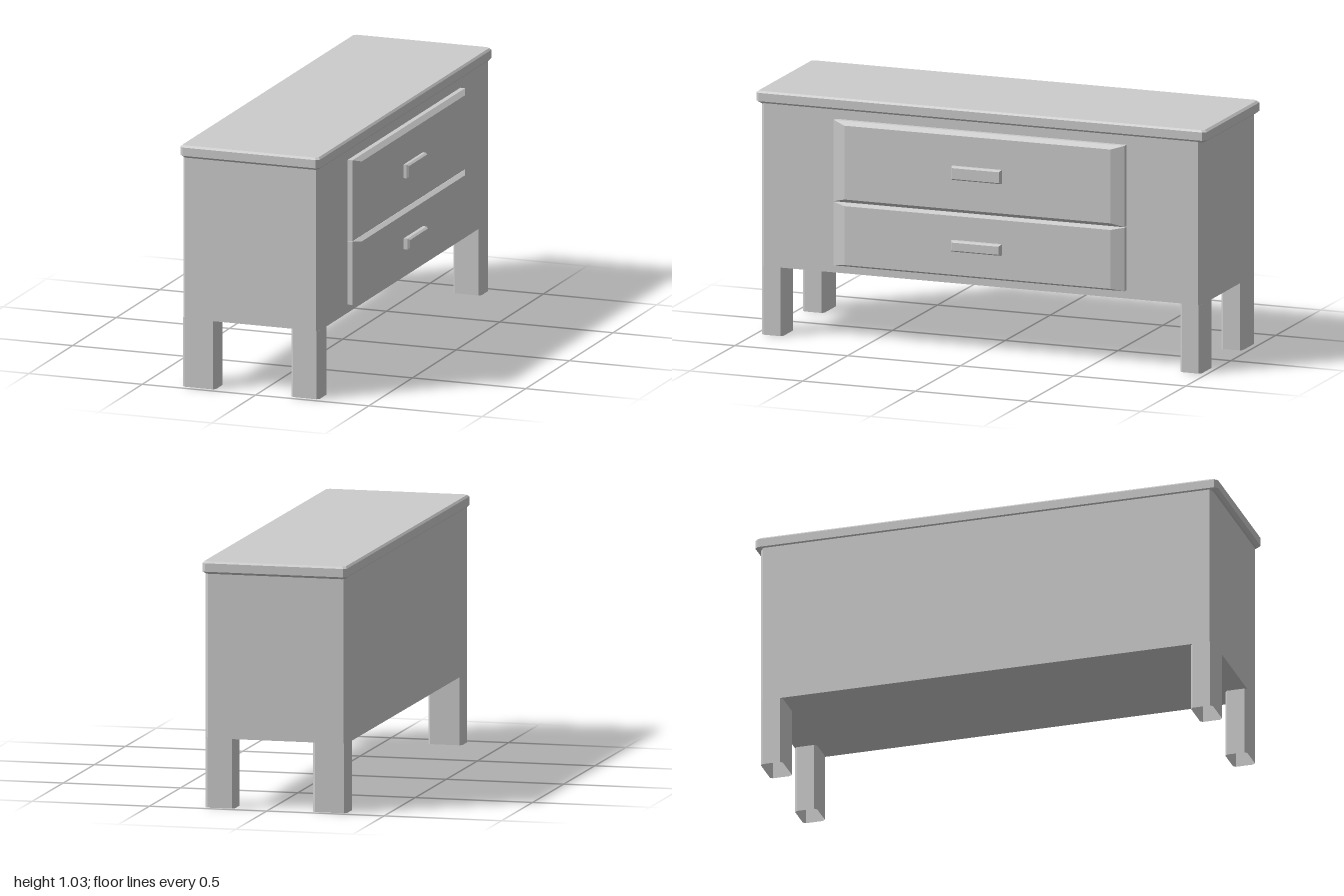
import * as THREE from 'three';

// Counter-clockwise rectangle in (u, v) with corners cut by c
function ring(u0, u1, v0, v1, c) {
  if (!c) return [[u0, v0], [u1, v0], [u1, v1], [u0, v1]];
  return [
    [u0 + c, v0], [u1 - c, v0], [u1, v0 + c], [u1, v1 - c],
    [u1 - c, v1], [u0 + c, v1], [u0, v1 - c], [u0, v0 + c],
  ];
}

// Joins rings placed along an axis; each level is [w, u0, u1, v0, v1, cornerCut].
// axis 'y': u = z, v = x.  axis 'x': u = y, v = z.
function loft(axis, levels, capped = true) {
  const place = axis === 'y' ? (u, v, w) => [v, w, u] : (u, v, w) => [w, u, v];
  const rings = levels.map(([w, ...r]) => ring(...r).map(([u, v]) => place(u, v, w)));
  const n = rings[0].length;
  const pos = [];
  const tri = (...pts) => pts.forEach((p) => pos.push(...p));
  for (let k = 0; k < rings.length - 1; k++) {
    const a = rings[k], b = rings[k + 1];
    for (let i = 0; i < n; i++) {
      const j = (i + 1) % n;
      tri(a[i], a[j], b[j]);
      tri(a[i], b[j], b[i]);
    }
  }
  if (capped) {
    const a = rings[0], b = rings[rings.length - 1];
    for (let i = 1; i < n - 1; i++) {
      tri(a[0], a[i + 1], a[i]);
      tri(b[0], b[i], b[i + 1]);
    }
  }
  const g = new THREE.BufferGeometry();
  g.setAttribute('position', new THREE.Float32BufferAttribute(pos, 3));
  g.computeVertexNormals();
  return g;
}

export function createModel() {
  const model = new THREE.Group();
  model.name = 'sideboard';
  const solid = new THREE.MeshStandardMaterial({ color: 0xcccccc, flatShading: true });
  const open = new THREE.MeshStandardMaterial({ color: 0xcccccc, flatShading: true, side: THREE.DoubleSide });
  const add = (name, geometry, material = solid) => {
    const mesh = new THREE.Mesh(geometry, material);
    mesh.name = name;
    model.add(mesh);
  };

  // Cabinet body with chamfered upright corners
  const body = [-0.975, 0.975, -0.333, 0.27, 0.012];
  add('cabinetBody', loft('y', [[0.29, ...body], [0.985, ...body]]));

  // Overhanging top board, bevelled above and below
  add('topBoard', loft('y', [
    [0.977, -0.985, 0.985, -0.328, 0.268, 0.012],
    [0.987, -0.998, 0.998, -0.338, 0.278, 0.014],
    [1.022, -0.998, 0.998, -0.338, 0.278, 0.014],
    [1.03, -0.988, 0.988, -0.33, 0.27, 0.012],
  ]));

  // Four hollow legs, open at the foot
  for (const [x0, x1, side] of [[-0.333, -0.188, 'back'], [0.145, 0.27, 'front']]) {
    for (const s of [1, -1]) {
      const z0 = s > 0 ? 0.88 : -0.975;
      const leg = [z0, z0 + 0.095, x0, x1, 0.01];
      add(`${side}Leg`, loft('y', [[0, ...leg], [0.29, ...leg]], false), open);
    }
  }

  // Drawer fronts with sloping rims, each with a bevelled bar handle
  const drawers = [
    { name: 'upper', y: [0.596, 0.94], rim: 0.016, grip: [0.739, 0.797], out: 0.333 },
    { name: 'lower', y: [0.325, 0.594], rim: 0.01, grip: [0.437, 0.483], out: 0.337 },
  ];
  for (const { name, y: [y0, y1], rim, grip: [g0, g1], out } of drawers) {
    add(`${name}Drawer`, loft('x', [
      [0.265, y0, y1, -0.645, 0.645, 0],
      [0.291, y0, y1, -0.645, 0.645, 0],
      [0.311, y0 + rim, y1 - rim, -0.59, 0.59, 0],
    ]));
    add(`${name}Handle`, loft('x', [
      [0.305, g0, g1, -0.11, 0.11, 0],
      [out - 0.01, g0, g1, -0.11, 0.11, 0],
      [out, g0 + 0.006, g1 - 0.006, -0.104, 0.104, 0],
    ]));
  }

  return model;
}
